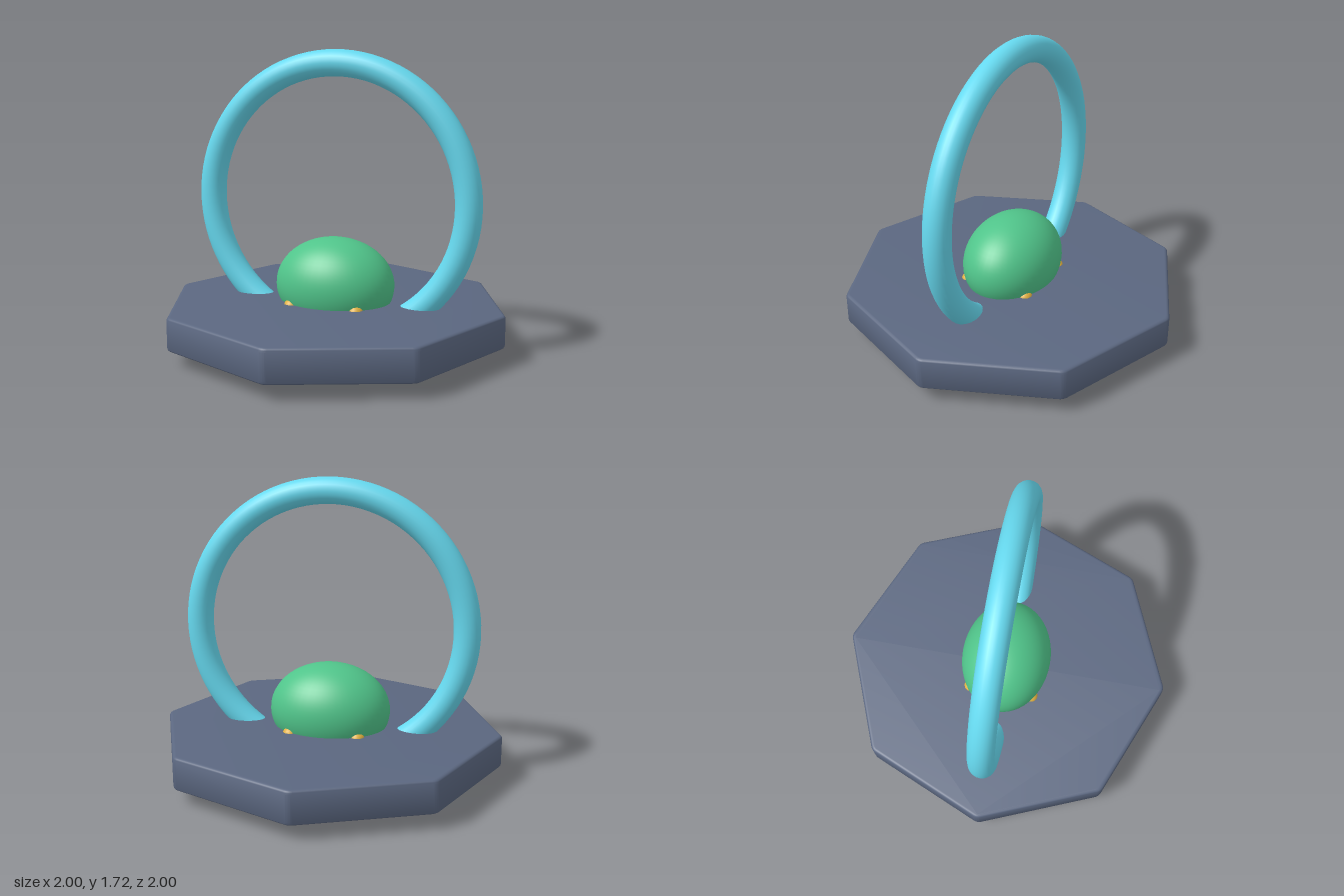
import * as THREE from 'three';
import { toCreasedNormals } from 'three/addons/utils/BufferGeometryUtils.js';

const material = (color) => new THREE.MeshStandardMaterial({ color });

function addMesh(parent, name, geometry, mat, x = 0, y = 0, z = 0) {
  const mesh = new THREE.Mesh(geometry, mat);
  mesh.name = name;
  mesh.position.set(x, y, z);
  parent.add(mesh);
  return mesh;
}

// Octagon outline with slightly softened corners
function octagon(radius, cut) {
  const corners = Array.from({ length: 8 }, (_, i) => {
    const a = (i * Math.PI) / 4;
    return new THREE.Vector2(Math.cos(a) * radius, Math.sin(a) * radius);
  });
  const shape = new THREE.Shape();
  corners.forEach((c, i) => {
    const before = c.clone().lerp(corners[(i + 7) % 8], cut);
    const after = c.clone().lerp(corners[(i + 1) % 8], cut);
    if (i === 0) shape.moveTo(before.x, before.y);
    else shape.lineTo(before.x, before.y);
    shape.quadraticCurveTo(c.x, c.y, after.x, after.y);
  });
  shape.closePath();
  return shape;
}

export function createModel() {
  const model = new THREE.Group();
  model.name = 'ringOnBase';

  // Eight-sided base slab with rounded rims
  const bevel = 0.02;
  const slab = new THREE.ExtrudeGeometry(octagon(0.982, 0.025), {
    depth: 0.19 - 2 * bevel, bevelThickness: bevel, bevelSize: bevel,
    bevelSegments: 4, curveSegments: 4,
  });
  slab.rotateX(-Math.PI / 2);
  addMesh(model, 'base', toCreasedNormals(slab, 0.6), material(0x5b6780), 0, 0.09 + bevel, 0);

  // Upright ring passing through the base
  addMesh(model, 'ring', new THREE.TorusGeometry(0.782, 0.076, 24, 96), material(0x66d9ef), 0, 0.862, 0);

  // Oval body resting in the base
  const body = new THREE.SphereGeometry(1, 48, 32);
  body.scale(0.352, 0.274, 0.274);
  addMesh(model, 'body', body, material(0x50c48a), 0, 0.372, 0);

  // Four small feet peeking out under the body
  const footGeometry = new THREE.SphereGeometry(0.045, 20, 14);
  const footMaterial = material(0xe0b040);
  for (const x of [-1, 1]) {
    for (const z of [-1, 1]) {
      const name = (z > 0 ? 'front' : 'back') + (x > 0 ? 'Left' : 'Right') + 'Foot';
      addMesh(model, name, footGeometry, footMaterial, x * 0.195, 0.262, z * 0.19);
    }
  }
  return model;
}
